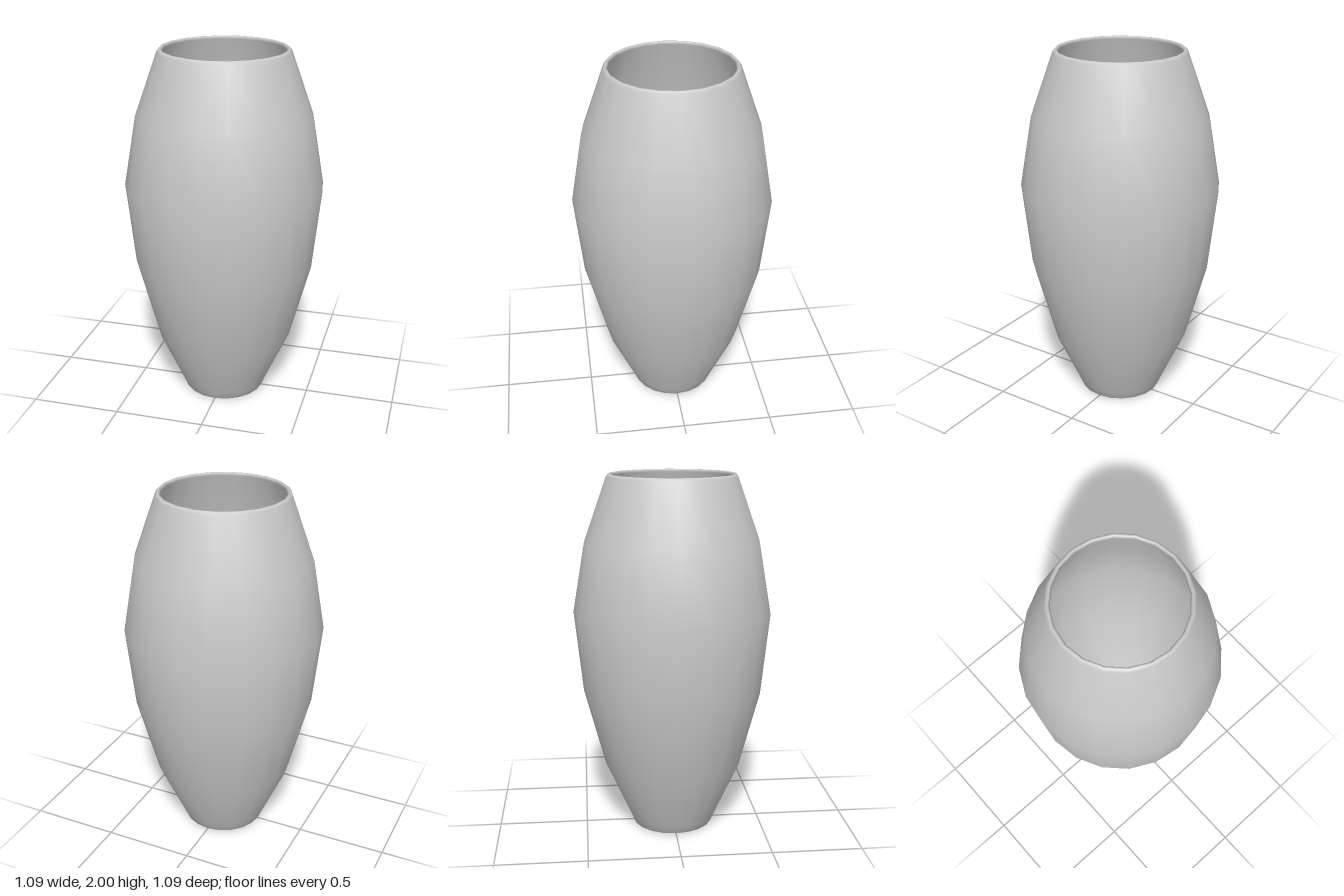
import * as THREE from 'three';

export function createModel() {
  const group = new THREE.Group();
  group.name = 'vase';
  const material = new THREE.MeshStandardMaterial({ color: 0xcccccc });

  // Closed profile [radius, height]: under the base, up the outside, over the rim, down the inside
  const outside = [
    [0, 0], [0.215, 0], [0.227, 0.005], [0.246, 0.05], [0.385, 0.36],
    [0.5, 0.8], [0.547, 1.255], [0.48, 1.64], [0.357, 1.985], [0.346, 2],
  ];
  const inside = [
    [0.336, 2], [0.329, 1.985], [0.455, 1.63], [0.522, 1.255],
    [0.475, 0.8], [0.36, 0.36], [0.225, 0.06], [0.205, 0.03], [0, 0.03],
  ];
  const profile = [...outside, ...inside].map(([r, y]) => new THREE.Vector2(r, y));

  // Twenty-sided, smoothly shaded hollow body
  const body = new THREE.Mesh(new THREE.LatheGeometry(profile, 20), material);
  body.name = 'vaseBody';
  group.add(body);
  return group;
}
